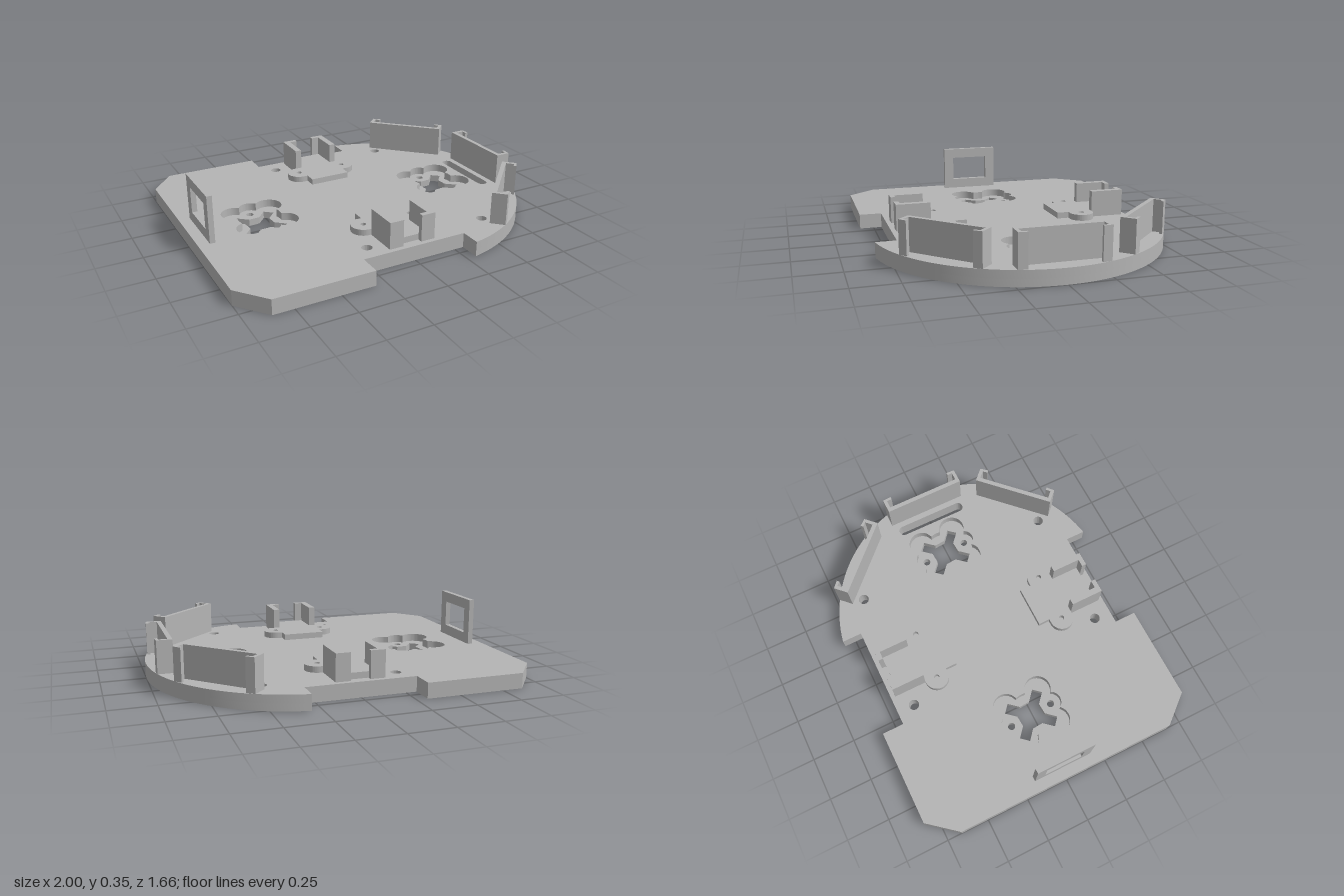
import * as THREE from 'three';
import { toCreasedNormals } from 'three/addons/utils/BufferGeometryUtils.js';

const grey = new THREE.MeshStandardMaterial({ color: 0xb4b4b4 });
grey.name = 'grey plastic';

const BASE = 0.085;          // top of the base plate
const FLOOR = 0.04;          // floor of the horn recesses
const NOSE = { x: 0.17, r: 0.83 }; // round front end of the plate

const poly = (pts, Type = THREE.Shape) => new Type(pts.map(p => new THREE.Vector2(...p)));

function circle(x, z, r) {
  const p = new THREE.Path();
  p.absarc(x, z, r, 0, Math.PI * 2, true);
  return p;
}

// Extrude a plan drawn in (x, z) between two heights
function slab(name, shape, y0, y1) {
  const g = new THREE.ExtrudeGeometry(shape, { depth: y1 - y0, bevelEnabled: false, curveSegments: 32 });
  g.rotateX(Math.PI / 2).translate(0, y1, 0);
  const m = new THREE.Mesh(toCreasedNormals(g, 0.4), grey);
  m.name = name;
  return m;
}

// Plate outline with side notches, cut rear corners, bolt holes and slot
function plateShape() {
  const end = Math.acos((0.305 - NOSE.x) / NOSE.r);
  const s = new THREE.Shape();
  s.moveTo(-1, -0.665);
  for (const p of [[-0.865, -0.83], [-0.31, -0.83], [-0.31, -0.703], [0.305, -0.703]]) s.lineTo(...p);
  s.absarc(NOSE.x, 0, NOSE.r, -end, end, false);
  for (const p of [[0.305, 0.703], [-0.31, 0.703], [-0.31, 0.83], [-0.865, 0.83], [-1, 0.665]]) s.lineTo(...p);
  s.closePath();
  for (const z of [-0.6, 0.6]) s.holes.push(circle(-0.235, z, 0.03), circle(0.5, z, 0.03));
  const slot = new THREE.Path();
  slot.absarc(0.815, 0.187, 0.03, 0, Math.PI, false);
  slot.absarc(0.815, -0.187, 0.03, Math.PI, Math.PI * 2, false);
  slot.closePath();
  s.holes.push(slot);
  return s;
}

const HORN = { z: -0.013, tilt: -0.07 };
const polar = (cx, a, r) => [cx + r * Math.cos(a), HORN.z + r * Math.sin(a)];

// Lobed recess: the outer edge of overlapping circles around a centre
function cloverPath(cx) {
  const lobes = [];
  for (let i = 0; i < 4; i++) lobes.push({ a: Math.PI / 4 + i * Math.PI / 2, d: 0.15, r: 0.077 });
  for (const a of [Math.PI / 2, -Math.PI / 2]) lobes.push({ a, d: 0.133, r: 0.06 });
  const pts = [];
  for (let i = 0; i < 180; i++) {
    const t = i * Math.PI / 90;
    let r = 0.125;
    for (const l of lobes) {
      const across = l.d * Math.sin(t - l.a), along = l.d * Math.cos(t - l.a);
      if (along > 0 && Math.abs(across) < l.r) r = Math.max(r, along + Math.sqrt(l.r ** 2 - across ** 2));
    }
    pts.push(polar(cx, t + HORN.tilt, r));
  }
  return poly(pts, THREE.Path);
}

// Cross-shaped through hole
function crossPath(cx) {
  const pts = [];
  for (let i = 0; i < 4; i++) {
    const a = Math.PI / 4 + i * Math.PI / 2 + HORN.tilt;
    for (const [u, v] of [[0.075, -0.03], [0.15, -0.03], [0.15, 0.03], [0.075, 0.03]])
      pts.push(polar(cx, a + Math.atan2(v, u), Math.hypot(u, v)));
  }
  return poly(pts, THREE.Path);
}

function basePlate() {
  const g = new THREE.Group();
  g.name = 'basePlate';
  const lower = plateShape(), upper = plateShape();
  for (const cx of [-0.583, 0.583]) {
    upper.holes.push(cloverPath(cx));
    lower.holes.push(crossPath(cx));
    for (const a of [Math.PI / 2, -Math.PI / 2])
      lower.holes.push(circle(...polar(cx, a + HORN.tilt, 0.133), 0.021));
  }
  g.add(slab('lowerPlate', lower, 0, FLOOR), slab('upperPlate', upper, FLOOR, BASE));
  return g;
}

// Side mount: eared pad with two upright angle brackets
function sideMount(name) {
  const g = new THREE.Group();
  g.name = name;
  const pad = new THREE.Shape();
  pad.moveTo(-0.123, 0.275);
  pad.lineTo(0.123, 0.275);
  pad.lineTo(0.123, 0.343);
  pad.absarc(0.148, 0.413, 0.07, -Math.PI / 2, Math.PI / 2, false);
  for (const p of [[0.1, 0.483], [0.1, 0.65], [-0.1, 0.65], [-0.1, 0.483]]) pad.lineTo(...p);
  pad.absarc(-0.148, 0.413, 0.07, Math.PI / 2, Math.PI * 1.5, false);
  pad.lineTo(-0.123, 0.343);
  pad.closePath();
  pad.holes.push(circle(-0.148, 0.413, 0.016), circle(0.148, 0.413, 0.016));
  g.add(slab('pad', pad, BASE, 0.12));
  for (const s of [-1, 1]) {
    const angle = [[0.1, 0.483], [0.137, 0.483], [0.137, 0.677], [0.055, 0.677], [0.055, 0.65], [0.1, 0.65]];
    g.add(slab('angleBracket', poly(angle.map(([x, z]) => [s * x, z])), BASE, 0.237));
  }
  return g;
}

// Sensor holder: back wall, side walls and small lips, set around the nose
function sensorHolder(name, angle) {
  const half = [[0.71, 0.24], [0.796, 0.24], [0.8, 0.19], [0.783, 0.19], [0.783, 0.22], [0.735, 0.22]];
  const other = half.map(([x, z]) => [x, -z]).reverse();
  const m = slab(name, poly([...half, ...other]), BASE, 0.268);
  m.position.x = NOSE.x;
  m.rotation.y = angle;
  return m;
}

// Upright window frame at the tail
function tailFrame() {
  const s = poly([[-0.175, BASE], [0.175, BASE], [0.175, 0.355], [-0.175, 0.355]]);
  s.holes.push(poly([[-0.115, 0.145], [-0.115, 0.295], [0.115, 0.295], [0.115, 0.145]], THREE.Path));
  const geo = new THREE.ExtrudeGeometry(s, { depth: 0.03, bevelEnabled: false });
  geo.rotateY(Math.PI / 2).translate(-0.937, 0, 0);
  const m = new THREE.Mesh(geo, grey);
  m.name = 'tailFrame';
  return m;
}

export function createModel() {
  const model = new THREE.Group();
  model.name = 'robotChassis';
  const front = sideMount('frontMount');
  const back = sideMount('backMount');
  back.rotation.y = Math.PI;
  front.position.x = back.position.x = -0.005;
  model.add(
    basePlate(), front, back, tailFrame(),
    sensorHolder('middleSensorHolder', 0),
    sensorHolder('frontSensorHolder', -Math.PI / 4),
    sensorHolder('backSensorHolder', Math.PI / 4),
  );
  return model;
}
